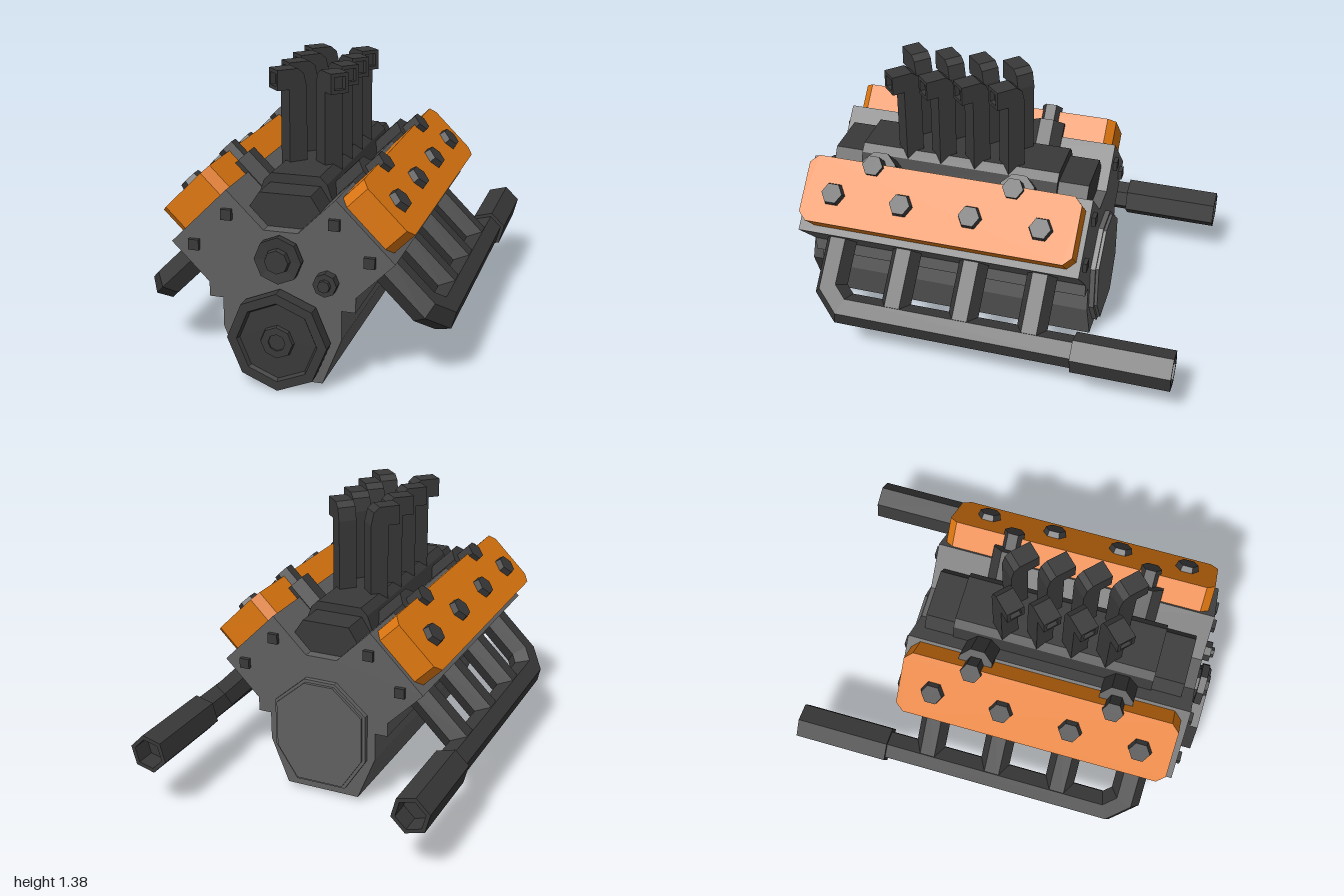
import * as THREE from 'three';

const flat = (name, color) => {
  const m = new THREE.MeshStandardMaterial({ color, flatShading: true });
  m.name = name;
  return m;
};

// Closed outline extruded along +z from z0 to z1
function prism(points, z0, z1, hole) {
  const shape = new THREE.Shape(points.map(p => new THREE.Vector2(...p)));
  if (hole) shape.holes.push(new THREE.Path(hole.map(p => new THREE.Vector2(...p))));
  return new THREE.ExtrudeGeometry(shape, { depth: z1 - z0, bevelEnabled: false }).translate(0, 0, z0);
}

// Half outline (x > 0, bottom to top) completed by symmetry
const symmetric = half => [...half, ...half.map(([x, y]) => [-x, y]).reverse()];

// Faceted turned part with its axis along +z; profile is [radius, z]
function turned(profile, sides, phi = 0) {
  const pts = profile.map(p => new THREE.Vector2(...p));
  return new THREE.LatheGeometry(pts, sides, phi).rotateX(Math.PI / 2);
}

// Hexagonal pipe swept along [x, z] points lying in a plane of constant y
function hexPipe(path, y, r) {
  const pos = [], index = [];
  const c = path.map(p => new THREE.Vector2(...p));
  c.forEach((p, i) => {
    const a = p.clone().sub(c[i - 1] || p).normalize();
    const b = (c[i + 1] || p).clone().sub(p).normalize();
    const d = a.clone().add(b).normalize();
    const stretch = 1 / d.dot(i ? a : b);
    for (let j = 0; j < 6; j++) {
      const t = j * Math.PI / 3, s = r * Math.cos(t) * stretch;
      pos.push(p.x + s * d.y, y + r * Math.sin(t), p.y - s * d.x);
      if (i) {
        const k = (j + 1) % 6, o = (i - 1) * 6, n = i * 6;
        index.push(o + j, o + k, n + k, o + j, n + k, n + j);
      }
    }
  });
  const g = new THREE.BufferGeometry();
  g.setAttribute('position', new THREE.Float32BufferAttribute(pos, 3));
  g.setIndex(index);
  return g;
}

// Mirror a geometry across x = 0, keeping its faces outward
function mirrored(geo) {
  const g = geo.index ? geo.toNonIndexed() : geo.clone();
  const p = g.attributes.position;
  for (let i = 0; i < p.count; i += 3) {
    const v = [0, 2, 1].map(k => new THREE.Vector3().fromBufferAttribute(p, i + k));
    v.forEach((q, k) => p.setXYZ(i + k, -q.x, q.y, q.z));
  }
  g.computeVertexNormals();
  return g;
}

export function createModel() {
  const engine = new THREE.Group();
  engine.name = 'engine';
  const grey = flat('block grey', 0x606060);
  const dark = flat('dark metal', 0x393939);
  const orange = flat('cover orange', 0xde7710);

  const add = (name, geo, mat) => {
    if (!geo.attributes.normal) geo.computeVertexNormals();
    const m = new THREE.Mesh(geo, mat);
    m.name = name;
    engine.add(m);
  };
  const pair = (name, geo, mat) => {
    add(name + 'Left', geo, mat);
    add(name + 'Right', mirrored(geo), mat);
  };
  // Parts on a cylinder bank: x runs down the deck, y points out of it
  const bank = (name, geo, mat) => pair(name, geo.rotateZ(-Math.PI / 4), mat);

  // Block with sump and V valley
  add('block', prism(symmetric([[0.19, 0.025], [0.28, 0.25], [0.28, 0.39], [0.345, 0.39], [0.345, 0.46],
    [0.522, 0.637], [0.253, 0.906], [0.08, 0.735]]), -0.5, 0.92), grey);
  // Bell housing flange at the rear
  add('rearFlange', prism(symmetric([[0.13, 0.07], [0.24, 0.24], [0.24, 0.48], [0.08, 0.62]]), -0.525, -0.5), grey);
  add('rearFlangeFace', prism(symmetric([[0.12, 0.085], [0.225, 0.245], [0.225, 0.475], [0.075, 0.605]]), -0.54, -0.52), grey);

  // Square head bolts at both ends of the block
  for (const [x, y] of [[0.25, 0.795], [0.41, 0.637]])
    for (const z of [0.92, -0.5])
      pair('blockBolt', new THREE.BoxGeometry(0.05, 0.05, 0.04).translate(x, y, z), dark);

  // Intake manifold in the valley
  add('manifoldBase', prism(symmetric([[0.08, 0.735], [0.165, 0.82], [0.12, 0.89]]), -0.45, 0.86), dark);
  add('manifoldTop', prism(symmetric([[0.08, 0.735], [0.175, 0.83], [0.15, 0.9], [0.115, 0.935]]), -0.3, 0.71), dark);

  // Intake trumpets with elbows turned outward and forward
  const stem = [[-0.045, 0.88], [0.045, 0.88], [0.045, 1.28], [0.08, 1.28], [0.08, 1.375], [0, 1.375],
    [-0.03, 1.35], [-0.045, 1.285]];
  const square = (h, v) => [[-h, -v], [h, -v], [h, v], [-h, v]];
  for (const z of [0.468, 0.296, 0.122, -0.052]) {
    const place = g => g.rotateY(Math.PI / 4).translate(0.085, 0, z);
    pair('trumpet', place(prism(stem, -0.045, 0.045).rotateY(-Math.PI / 2)), dark);
    pair('trumpetMouth', place(prism(square(0.045, 0.0475), 0.08, 0.104, square(0.028, 0.03))
      .translate(0, 1.3275, 0)), dark);
  }

  // Valve covers with clipped corners, and their hex bolts
  const cover = symmetric([[0.124, -0.68], [0.164, -0.64], [0.164, 0.64], [0.124, 0.68]]);
  bank('valveCover', prism(cover, 0, 0.135).rotateX(-Math.PI / 2).translate(-0.281, 0.817, 0.205), orange);
  const cylinders = [0.73, 0.385, 0.04, -0.305];
  for (const z of cylinders)
    bank('coverBolt', new THREE.CylinderGeometry(0.052, 0.062, 0.04, 6).translate(-0.265, 0.962, z), dark);

  // Hex fittings between manifold and covers
  for (const z of [0.56, -0.14]) {
    bank('fittingCollar', new THREE.CylinderGeometry(0.09, 0.09, 0.21, 8, 1, false, Math.PI / 8)
      .translate(-0.431, 0.784, z), dark);
    bank('fittingBolt', new THREE.CylinderGeometry(0.052, 0.052, 0.14, 6).translate(-0.431, 0.907, z), dark);
  }

  // Exhaust: front runner bends into the collector, others join it
  const out = 0.251, level = 0.697;
  bank('collector', hexPipe([[-0.12, cylinders[0]], [0.165, cylinders[0]], [out, 0.645], [out, -0.53]], level, 0.078), dark);
  for (const z of cylinders.slice(1))
    bank('runner', hexPipe([[-0.12, z], [out, z]], level, 0.075), dark);
  bank('tailPipe', turned([[0, 0.52], [0.097, 0.52], [0.097, 1], [0.075, 1], [0.075, 0.9], [0, 0.9]], 6, Math.PI / 2)
    .rotateY(Math.PI).translate(out, level, 0), dark);

  // Front pulleys
  add('crankPulley', turned([[0.17, 0.91], [0.17, 0.935], [0.235, 0.935], [0.235, 1], [0.19, 1], [0.18, 0.982],
    [0.08, 0.982], [0.075, 0.998], [0.04, 0.998], [0.04, 0.99], [0, 0.99]], 8).translate(0, 0.235, 0), dark);
  add('waterPumpPulley', turned([[0.08, 0.91], [0.08, 0.935], [0.11, 0.935], [0.11, 0.97], [0.06, 0.965],
    [0.055, 0.988], [0, 0.988]], 8).translate(0, 0.615, 0), dark);
  add('idlerPulley', turned([[0.055, 0.91], [0.055, 0.965], [0.03, 0.965], [0.028, 0.982], [0, 0.982]], 8)
    .translate(0.215, 0.522, 0), dark);

  return engine;
}
